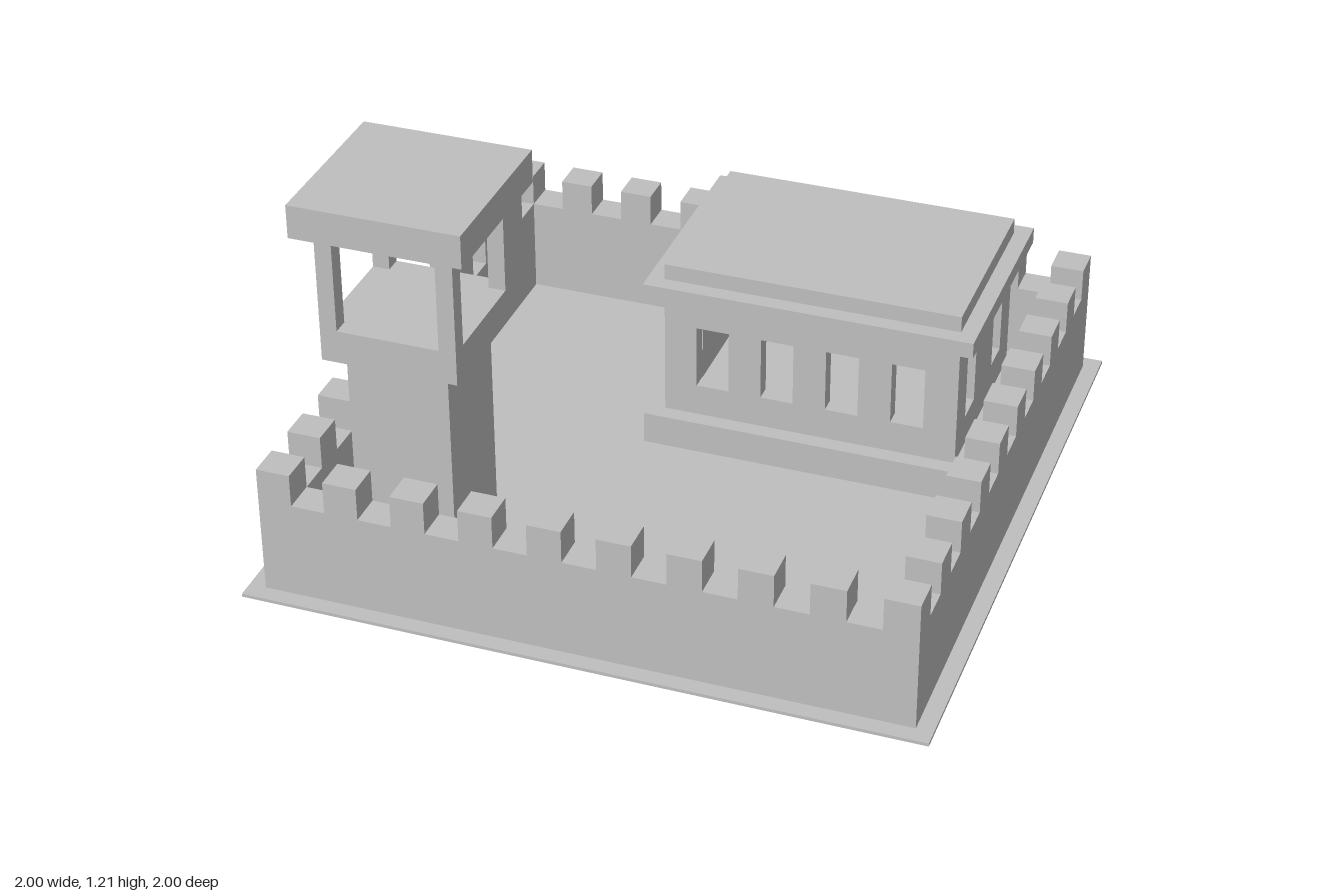
import * as THREE from 'three';

const stone = new THREE.MeshStandardMaterial({ color: 0xbfbfbf });
stone.name = 'stone grey';

// Box given by its min and max corners
function box(name, [x0, y0, z0], [x1, y1, z1]) {
  const mesh = new THREE.Mesh(new THREE.BoxGeometry(x1 - x0, y1 - y0, z1 - z0), stone);
  mesh.position.set((x0 + x1) / 2, (y0 + y1) / 2, (z0 + z1) / 2);
  mesh.name = name;
  return mesh;
}

// Upright panel extruded from a shape; its outer face lies at `distance` from the centre
function panel(name, shape, thickness, angle, distance) {
  const geometry = new THREE.ExtrudeGeometry(shape, { depth: thickness, bevelEnabled: false });
  geometry.translate(0, 0, distance - thickness);
  geometry.rotateY(angle);
  const mesh = new THREE.Mesh(geometry, stone);
  mesh.name = name;
  return mesh;
}

// Wall outline with merlons 0.1 wide on a 0.2 pitch
function crenellatedShape(half) {
  const shape = new THREE.Shape();
  shape.moveTo(-half, 0.01);
  shape.lineTo(half, 0.01);
  if (half < 0.9) shape.lineTo(half, 0.31);
  for (let i = 9; i >= 0; i--) {
    const left = -0.95 + i * 0.2;
    const right = left + 0.1;
    if (right > half + 0.01 || left < -half - 0.01) continue;
    shape.lineTo(right, 0.31);
    shape.lineTo(right, 0.41);
    shape.lineTo(left, 0.41);
    shape.lineTo(left, 0.31);
  }
  if (half < 0.9) shape.lineTo(-half, 0.31);
  shape.closePath();
  return shape;
}

// Hall wall outline with window openings at the given centres
function windowedShape(half, centres) {
  const shape = new THREE.Shape();
  shape.moveTo(-half, 0.11);
  shape.lineTo(half, 0.11);
  shape.lineTo(half, 0.51);
  shape.lineTo(-half, 0.51);
  shape.closePath();
  for (const c of centres) {
    const hole = new THREE.Path();
    hole.moveTo(c - 0.05, 0.21);
    hole.lineTo(c - 0.05, 0.41);
    hole.lineTo(c + 0.05, 0.41);
    hole.lineTo(c + 0.05, 0.21);
    hole.closePath();
    shape.holes.push(hole);
  }
  return shape;
}

export function createModel() {
  const model = new THREE.Group();
  model.name = 'fort';
  model.add(box('groundSlab', [-1, 0, -1], [1, 0.01, 1]));

  // Outer walls: front and back run full length, sides fit between them
  const sides = ['front', 'left', 'back', 'right'];
  sides.forEach((side, i) => {
    const shape = crenellatedShape(i % 2 ? 0.85 : 0.95);
    model.add(panel(side + 'Wall', shape, 0.1, i * Math.PI / 2, 0.95));
  });

  // Watchtower
  const tower = new THREE.Group();
  tower.name = 'watchtower';
  tower.position.set(-0.6, 0, 0.6);
  tower.add(box('towerShaft', [-0.15, 0.01, -0.15], [0.15, 0.71, 0.15]));
  tower.add(box('towerPlatform', [-0.2, 0.71, -0.2], [0.2, 0.81, 0.2]));
  for (const x of [-0.2, 0.15]) {
    for (const z of [-0.2, 0.15]) {
      tower.add(box('towerPost', [x, 0.81, z], [x + 0.05, 1.11, z + 0.05]));
    }
  }
  tower.add(box('towerRoof', [-0.25, 1.11, -0.25], [0.25, 1.21, 0.25]));
  model.add(tower);

  // Hall: plinth, hollow windowed walls and a stepped roof
  const hall = new THREE.Group();
  hall.name = 'hall';
  hall.position.set(0.3, 0, -0.45);
  hall.add(box('hallPlinth', [-0.5, 0.01, -0.35], [0.5, 0.11, 0.35]));
  sides.forEach((side, i) => {
    const shape = i % 2
      ? windowedShape(0.25, [-0.15, 0.15])
      : windowedShape(0.45, [-0.3, -0.1, 0.1, 0.3]);
    hall.add(panel(side + 'HallWall', shape, 0.05, i * Math.PI / 2, i % 2 ? 0.45 : 0.3));
  });
  hall.add(box('hallEaves', [-0.5, 0.51, -0.35], [0.5, 0.56, 0.35]));
  hall.add(box('hallRoof', [-0.45, 0.56, -0.3], [0.45, 0.61, 0.3]));
  model.add(hall);

  return model;
}
